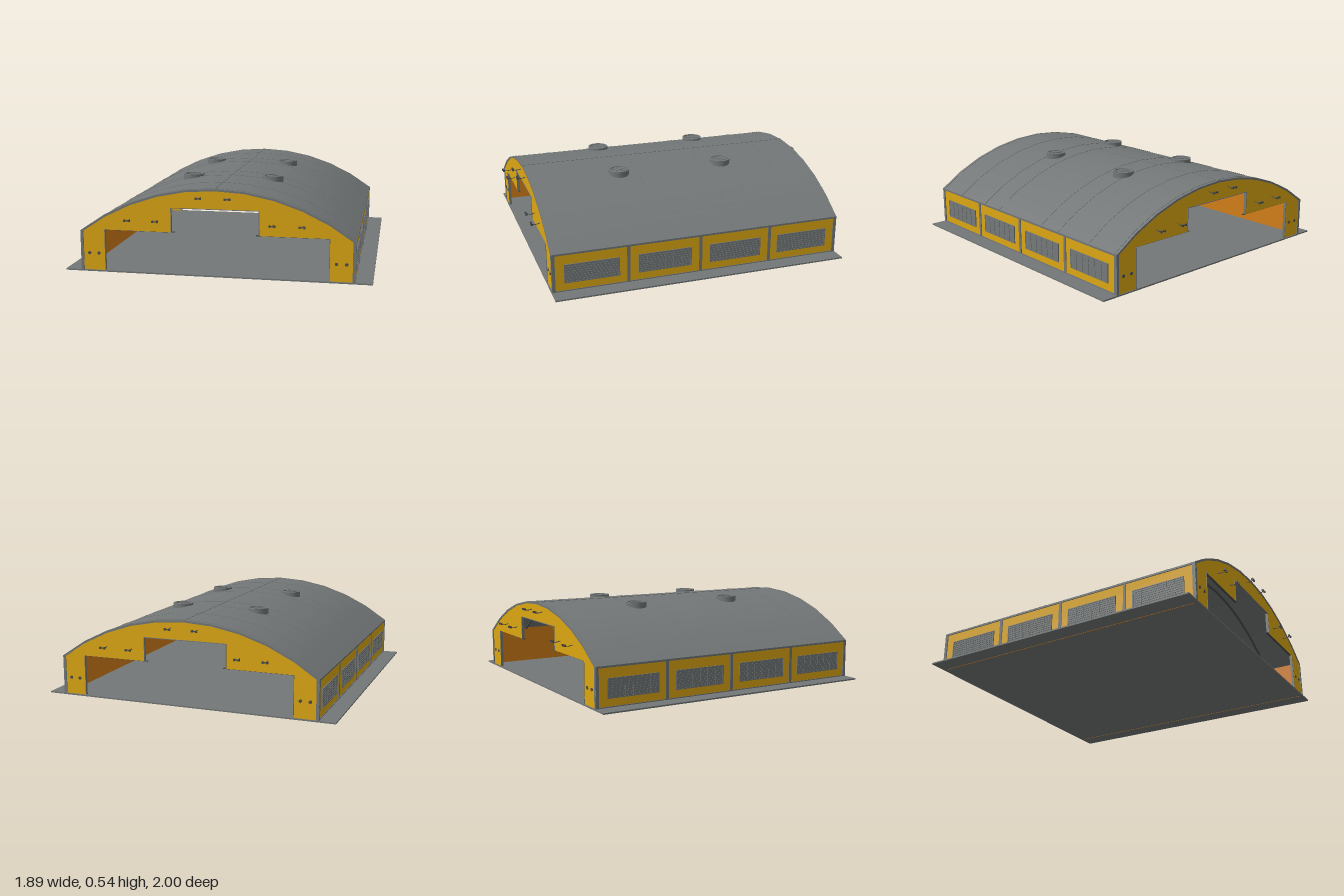
import * as THREE from 'three';
import { toCreasedNormals } from 'three/addons/utils/BufferGeometryUtils.js';

const material = (name, color) => {
  const m = new THREE.MeshStandardMaterial({ color });
  m.name = name;
  return m;
};

export function createModel() {
  const grey = material('steel grey', 0x737777);
  const dark = material('fitting grey', 0x4a4d4d);
  const yellow = material('panel yellow', 0xdca612);
  const orange = material('inner orange', 0xd07c18);
  const model = new THREE.Group();
  model.name = 'hangar';

  const add = (name, geometry, mat, x = 0, y = 0, z = 0, parent = model) => {
    const mesh = new THREE.Mesh(geometry, mat);
    mesh.name = name;
    mesh.position.set(x, y, z);
    parent.add(mesh);
    return mesh;
  };
  const box = (name, mat, w, h, d, x, y, z, parent) =>
    add(name, new THREE.BoxGeometry(w, h, d), mat, x, y, z, parent);

  // Arched roof profile, given as points from right to left
  const RADIUS = 1.395, CENTRE = 0.54 - RADIUS, SPAN = 0.65, STEPS = 10;
  const arc = (offset) => Array.from({ length: STEPS + 1 }, (_, i) => {
    const a = SPAN - (2 * SPAN * i) / STEPS;
    return new THREE.Vector2(Math.sin(a) * (RADIUS + offset), CENTRE + Math.cos(a) * (RADIUS + offset));
  });
  const archBand = (outer, inner, depth) => {
    const shape = new THREE.Shape([...arc(outer), ...arc(inner).reverse()]);
    const g = new THREE.ExtrudeGeometry(shape, { depth, bevelEnabled: false });
    g.translate(0, 0, -depth / 2);
    return toCreasedNormals(g, 0.4);
  };
  add('roof', archBand(0, -0.012, 1.886), grey);

  // Roof seams, inner ribs and tie rods
  for (const z of [-0.92, -0.69, -0.4, -0.23, 0.23, 0.4, 0.69, 0.92]) {
    add('roofSeam', archBand(0.002, -0.002, 0.006), grey, 0, 0, z);
    add('roofRib', archBand(-0.011, -0.022, 0.012), dark, 0, 0, z);
  }
  box('ridgeSeam', grey, 0.006, 0.003, 1.88, 0, 0.5405, 0);
  for (const z of [-0.47, 0, 0.47]) {
    const rod = add('tieRod', new THREE.CylinderGeometry(0.002, 0.002, 1.36, 6), dark, 0, 0.332, z);
    rod.rotation.z = Math.PI / 2;
  }

  // Floor slab
  box('floorSlab', grey, 1.89, 0.009, 1.89, 0, 0.0055, 0);

  // End walls with a stepped doorway
  const endShape = new THREE.Shape([
    new THREE.Vector2(0.838, 0.005), ...arc(-0.008).map((p) => new THREE.Vector2(p.x, p.y)),
    ...[[-0.838, 0.005], [-0.69, 0.005], [-0.69, 0.266], [-0.27, 0.266], [-0.27, 0.416],
      [0.27, 0.416], [0.27, 0.266], [0.69, 0.266], [0.69, 0.005]].map((p) => new THREE.Vector2(...p)),
  ]);
  const endGeometry = new THREE.ExtrudeGeometry(endShape, { depth: 0.014, bevelEnabled: false });

  // Lamp arm bent outward with a small crossbar head
  const armPath = new THREE.CatmullRomCurve3([
    new THREE.Vector3(0, 0, 0), new THREE.Vector3(0, -0.005, 0.025),
    new THREE.Vector3(0, -0.004, 0.04), new THREE.Vector3(0, 0.004, 0.052),
  ]);
  const armGeometry = new THREE.TubeGeometry(armPath, 8, 0.0025, 6);
  const studGeometry = new THREE.CylinderGeometry(0.01, 0.01, 0.006, 14).rotateX(Math.PI / 2);

  for (const turn of [0, Math.PI]) {
    const end = new THREE.Group();
    end.name = turn ? 'backEnd' : 'frontEnd';
    end.rotation.y = turn;
    model.add(end);
    add('endWall', endGeometry, yellow, 0, 0, 0.924, end);
    for (const s of [-1, 1]) {
      box('cornerTrim', grey, 0.01, 0.25, 0.02, s * 0.84, 0.13, 0.932, end);
      box('doorTrack', dark, 0.45, 0.004, 0.014, s * 0.475, 0.266, 0.929, end);
      box('doorJambTrim', grey, 0.004, 0.256, 0.018, s * 0.689, 0.138, 0.932, end);
      box('stepTrim', grey, 0.004, 0.15, 0.018, s * 0.269, 0.341, 0.932, end);
      for (const x of [0.73, 0.79]) add('stud', studGeometry, dark, s * x, 0.116, 0.94, end);
      for (const [x, y] of [[0.53, 0.337], [0.355, 0.337], [0.0875, 0.487]]) {
        const lamp = new THREE.Group();
        lamp.name = 'lamp';
        lamp.position.set(s * x, y, 0.938);
        end.add(lamp);
        add('lampArm', armGeometry, dark, 0, 0, 0, lamp);
        box('lampHead', dark, 0.036, 0.006, 0.006, 0, 0.002, 0.054, lamp);
        for (const k of [-1, 1]) box('lampCap', dark, 0.01, 0.013, 0.012, k * 0.014, 0.002, 0.054, lamp);
      }
    }
    box('lintelTrim', grey, 0.54, 0.004, 0.018, 0, 0.416, 0.932, end);
  }

  // Side walls: yellow panels, grey posts and louvred windows
  for (const s of [-1, 1]) {
    const side = new THREE.Group();
    side.name = s > 0 ? 'leftWall' : 'rightWall';
    side.rotation.y = s * Math.PI / 2;
    model.add(side);
    box('wallPanel', yellow, 1.86, 0.245, 0.01, 0, 0.1285, 0.834, side);
    box('innerWall', orange, 1.84, 0.256, 0.006, 0, 0.128, 0.826, side);
    box('eavesRail', grey, 1.886, 0.012, 0.018, 0, 0.251, 0.836, side);
    box('baseRail', grey, 1.886, 0.006, 0.01, 0, 0.013, 0.838, side);
    for (const x of [-0.933, -0.467, 0, 0.467, 0.933]) {
      box('wallPost', grey, 0.02, 0.245, 0.018, x, 0.13, 0.835, side);
    }
    for (const x of [-0.695, -0.233, 0.233, 0.695]) {
      box('windowPlate', grey, 0.336, 0.116, 0.004, x, 0.123, 0.841, side);
      for (const k of [-1, 1]) {
        box('windowFrame', grey, 0.344, 0.006, 0.008, x, 0.123 + k * 0.057, 0.842, side);
        box('windowFrame', grey, 0.006, 0.116, 0.008, x + k * 0.169, 0.123, 0.842, side);
      }
      for (let i = -3; i <= 3; i++) {
        box('windowSlat', grey, 0.332, 0.004, 0.005, x, 0.123 + i * 0.0145, 0.8435, side);
      }
      for (let i = -2; i <= 2; i++) {
        box('windowBar', grey, 0.004, 0.11, 0.005, x + i * 0.056, 0.123, 0.844, side);
      }
    }
  }

  // Roof fans: raised ring, disc, hub and curved blades
  const ringProfile = [[0.056, 0.49], [0.067, 0.49], [0.067, 0.537], [0.056, 0.537], [0.056, 0.49]];
  const ringGeometry = toCreasedNormals(
    new THREE.LatheGeometry(ringProfile.map((p) => new THREE.Vector2(...p)), 28), 0.6);
  const blade = new THREE.Shape();
  blade.moveTo(0.008, 0);
  blade.quadraticCurveTo(0.034, 0.002, 0.05, 0.026);
  blade.lineTo(0.056, 0.012);
  blade.quadraticCurveTo(0.036, -0.012, 0.008, -0.006);
  const bladeGeometry = new THREE.ExtrudeGeometry(blade, { depth: 0.003, bevelEnabled: false, curveSegments: 5 });
  bladeGeometry.rotateX(-Math.PI / 2);
  for (const x of [-0.265, 0.265]) {
    for (const z of [-0.355, 0.355]) {
      const fan = new THREE.Group();
      fan.name = 'roofFan';
      fan.position.set(x, 0, z);
      model.add(fan);
      add('fanRing', ringGeometry, grey, 0, 0, 0, fan);
      add('fanDisc', new THREE.CylinderGeometry(0.058, 0.058, 0.04, 28), grey, 0, 0.51, 0, fan);
      add('fanHub', new THREE.CylinderGeometry(0.01, 0.01, 0.007, 12), grey, 0, 0.533, 0, fan);
      for (let i = 0; i < 6; i++) {
        add('fanBlade', bladeGeometry, grey, 0, 0.531, 0, fan).rotation.y = (i * Math.PI) / 3;
      }
    }
  }
  return model;
}
